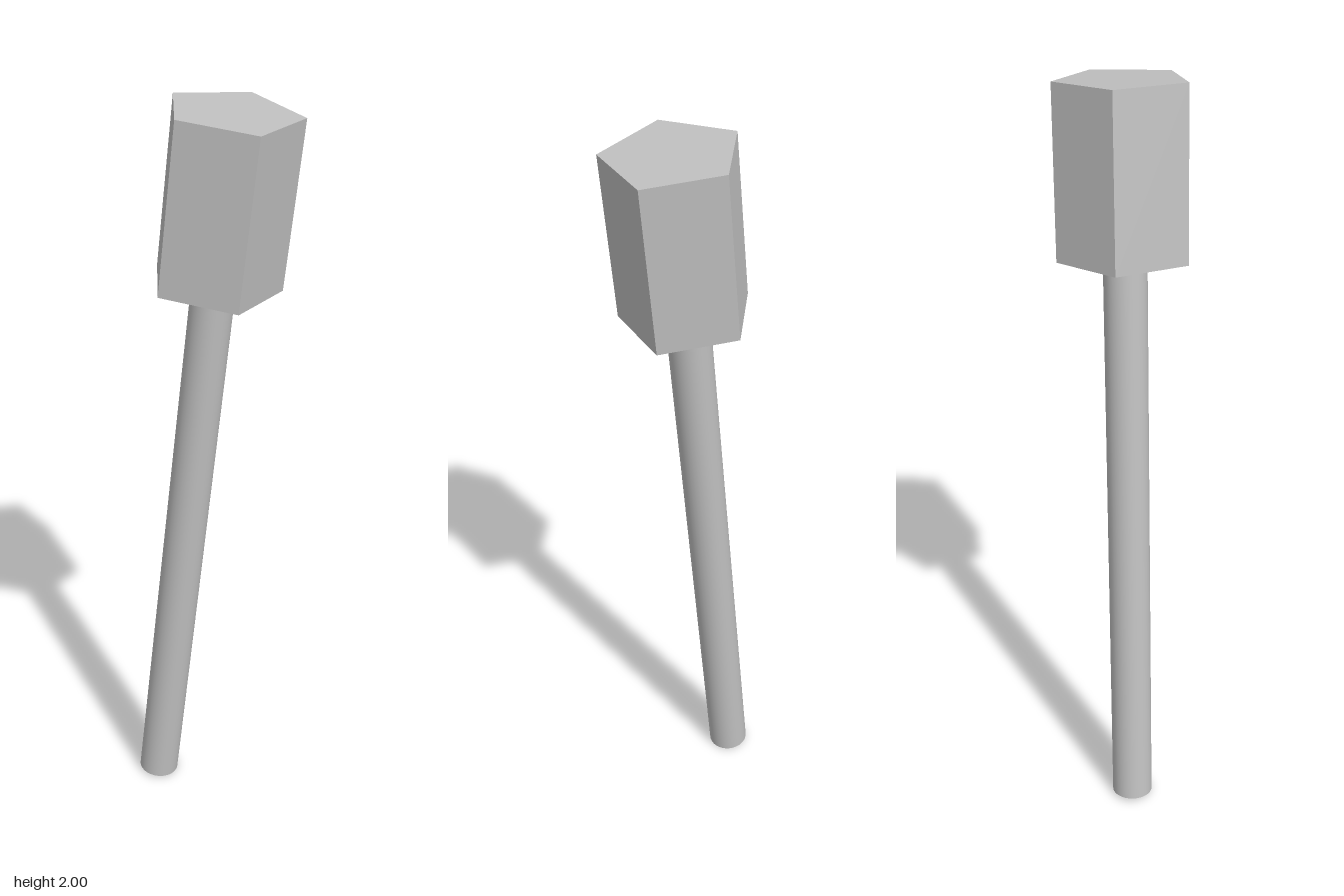
import * as THREE from 'three';

export function createModel() {
  const model = new THREE.Group();
  model.name = 'mallet';
  const grey = new THREE.MeshStandardMaterial({ color: 0xc0c0c0 });
  grey.name = 'plain grey';

  // Axis running from the foot of the handle to the top of the head
  const foot = new THREE.Vector3(-0.163, 0.006, 0.0065);
  const tip = new THREE.Vector3(0.055, 1.982, 0.0155);
  const axis = tip.clone().sub(foot);
  const length = axis.length();
  const headLength = 0.432;
  const handleLength = length - headLength;

  // Leaning frame: local y follows the axis
  const tilted = new THREE.Group();
  tilted.name = 'tiltedBody';
  tilted.position.copy(foot);
  tilted.quaternion.setFromUnitVectors(new THREE.Vector3(0, 1, 0), axis.normalize());
  model.add(tilted);

  // Round smooth handle
  const handle = new THREE.Mesh(
    new THREE.CylinderGeometry(0.055, 0.055, handleLength, 32), grey);
  handle.name = 'handle';
  handle.position.y = handleLength / 2;
  tilted.add(handle);

  // Five-sided head with flat faces and one corner to the back
  const headShape = new THREE.CylinderGeometry(0.17, 0.17, headLength, 5)
    .rotateY(Math.PI).toNonIndexed();
  headShape.computeVertexNormals();
  const head = new THREE.Mesh(headShape, grey);
  head.name = 'head';
  head.position.y = length - headLength / 2;
  tilted.add(head);

  return model;
}
